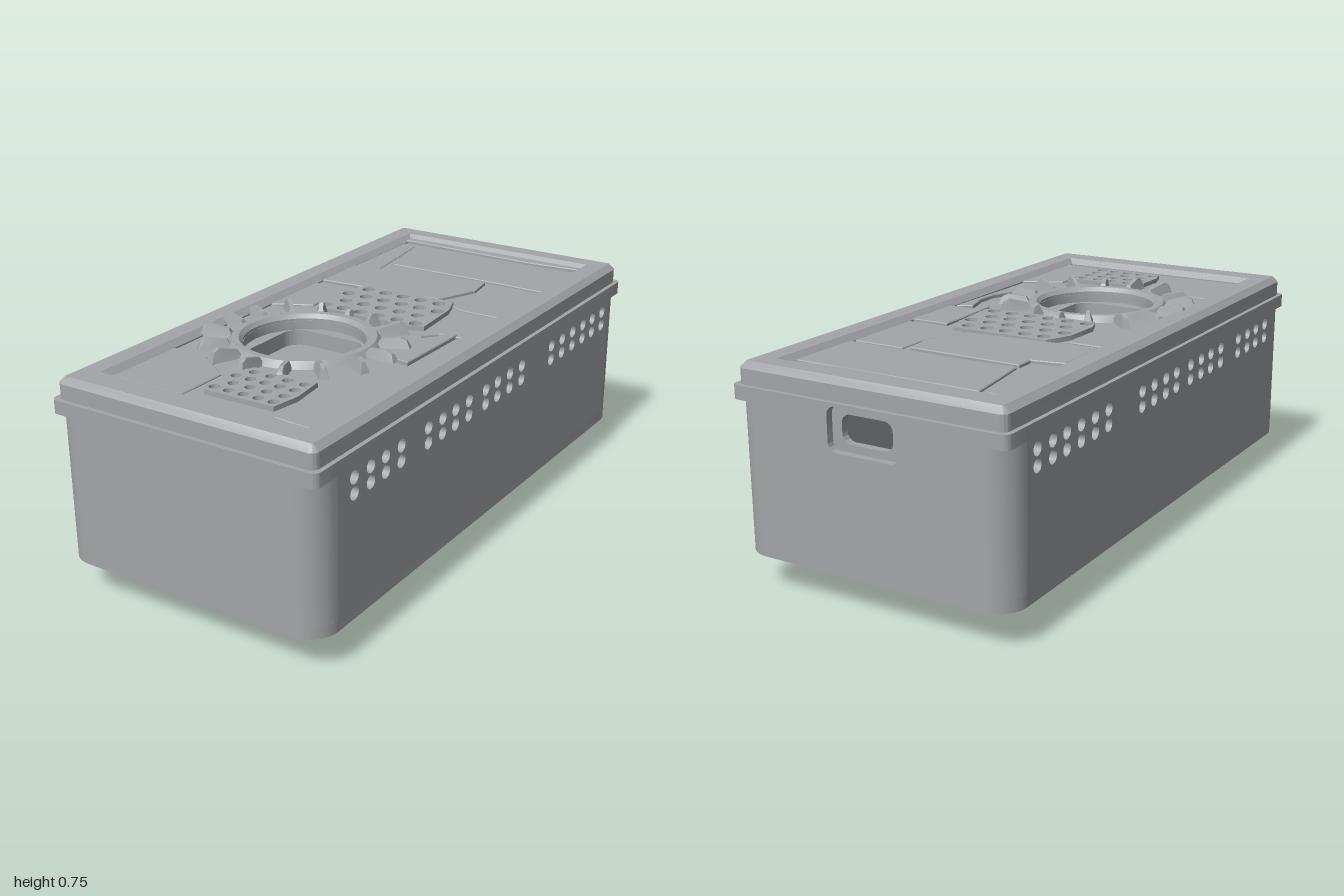
import * as THREE from 'three';
import { toCreasedNormals } from 'three/addons/utils/BufferGeometryUtils.js';

const grey = new THREE.MeshStandardMaterial({ color: 0xa3a5a8, side: THREE.DoubleSide });
grey.name = 'plain grey';

// Rounded rectangle between two corners, as a shape or a hole path
function roundRect(x0, y0, x1, y1, r, Type = THREE.Shape) {
  const s = new Type();
  s.absarc(x1 - r, y1 - r, r, 0, Math.PI / 2, false);
  s.absarc(x0 + r, y1 - r, r, Math.PI / 2, Math.PI, false);
  s.absarc(x0 + r, y0 + r, r, Math.PI, Math.PI * 1.5, false);
  s.absarc(x1 - r, y0 + r, r, Math.PI * 1.5, Math.PI * 2, false);
  s.closePath();
  return s;
}
function circle(x, y, r, Type = THREE.Path) {
  return new Type().absarc(x, y, r, 0, Math.PI * 2, false);
}
function polygon(points) {
  return new THREE.Shape(points.map(([x, y]) => new THREE.Vector2(x, y)));
}
function extrude(shape, depth, bevel = 0, curveSegments = 10) {
  return new THREE.ExtrudeGeometry(shape, {
    depth, curveSegments, bevelEnabled: bevel > 0, bevelSegments: 1,
    bevelThickness: bevel, bevelSize: bevel, bevelOffset: -bevel,
  });
}

export function createModel() {
  const model = new THREE.Group();
  function add(name, geometry) {
    const mesh = new THREE.Mesh(toCreasedNormals(geometry, 0.5), grey);
    mesh.name = name;
    model.add(mesh);
    return mesh;
  }
  // Horizontal plate drawn in (x, z), hanging down from height top
  function plate(name, shape, top, depth, bevel = 0, segments = 10) {
    const g = extrude(shape, depth, bevel, segments);
    return add(name, g.rotateX(Math.PI / 2).translate(0, top - bevel, 0));
  }

  const W = 0.485, L = 1, R = 0.1, T = 0.05, BOTTOM = 0.12, TOP = 0.655;

  // Long side walls with two rows of vent holes
  const vents = [0.815, 0.73, 0.65, 0.565, 0.41, 0.325, 0.245, 0.16, 0.05, -0.03, -0.115, -0.2,
    -0.425, -0.51, -0.595, -0.68, -0.76, -0.845];
  for (const side of [1, -1]) {
    const wall = polygon([[-L + R, BOTTOM], [L - R, BOTTOM], [L - R, TOP], [-L + R, TOP]]);
    for (const z of vents) for (const y of [0.525, 0.575]) wall.holes.push(circle(-side * z, y, 0.022));
    add('sideWall', extrude(wall, T).rotateY(side * Math.PI / 2).translate(side * (W - T), 0, 0));
  }

  // Front wall, and back wall in two layers with a stepped port opening
  const endWall = () => polygon([[-W + R, BOTTOM], [W - R, BOTTOM], [W - R, TOP], [-W + R, TOP]]);
  add('frontWall', extrude(endWall(), T).translate(0, 0, L - T));
  const outer = endWall(), inner = endWall();
  outer.holes.push(roundRect(-0.125, 0.505, 0.125, 0.645, 0.03, THREE.Path));
  inner.holes.push(roundRect(-0.09, 0.53, 0.09, 0.62, 0.03, THREE.Path));
  add('backWallOuter', extrude(outer, T / 2).translate(0, 0, -L));
  add('backWallInner', extrude(inner, T / 2).translate(0, 0, -L + T / 2));

  // Corners: broad rounding below, sharper rim band above
  function corner(sx, sz, r) {
    const pts = [[W - R, L - T], [W - R, L]];
    for (let i = 8; i >= 0; i--) {
      const a = (i / 8) * Math.PI / 2;
      pts.push([W - r + r * Math.cos(a), L - r + r * Math.sin(a)]);
    }
    pts.push([W, L - R], [W - T, L - R]);
    return polygon(pts.filter((p, i) => i === 0 || Math.hypot(p[0] - pts[i - 1][0], p[1] - pts[i - 1][1]) > 1e-6)
      .map(([x, z]) => [x * sx, z * sz]));
  }
  // Bottom plate with countersunk screw holes
  const floor = roundRect(-W, -L, W, L, R);
  for (const sx of [1, -1]) for (const sz of [1, -1]) {
    plate('bodyCorner', corner(sx, sz, R), 0.61, 0.61 - BOTTOM);
    plate('rimCorner', corner(sx, sz, 0.025), TOP, TOP - 0.61);
    const x = sx * 0.345, z = sz * 0.85;
    floor.holes.push(circle(x, z, 0.076));
    const sink = [[0.076, 0.12], [0.036, 0.165], [0.036, 0.25], [0, 0.25]].map(p => new THREE.Vector2(...p));
    add('screwHole', new THREE.LatheGeometry(sink, 24).translate(x, 0, z));
    add('screwPost', new THREE.CylinderGeometry(0.088, 0.088, TOP - 0.15, 24, 1, true)
      .translate(x, (TOP + 0.15) / 2, z));
  }
  plate('bottomPlate', floor, BOTTOM + 0.04, 0.04);

  // Round foot with a keyhole for hanging
  const foot = circle(0, 0.17, 0.333, THREE.Shape);
  const w = 0.035, a = Math.asin(w / 0.085), key = new THREE.Path();
  key.absarc(0, 0.17, 0.085, -Math.PI / 2 + a, Math.PI * 1.5 - a, false);
  key.absarc(0, -0.055, w, Math.PI, Math.PI * 2, false);
  key.closePath();
  foot.holes.push(key);
  plate('foot', foot, BOTTOM, BOTTOM, 0, 32);

  // Lid frame: straight base and chamfered top
  const lidBase = roundRect(-0.47, -0.985, 0.47, 0.985, 0.025);
  lidBase.holes.push(roundRect(-0.4, -0.92, 0.4, 0.9, 0.01, THREE.Path));
  plate('lidBase', lidBase, 0.705, 0.05);
  const lidTop = roundRect(-0.47, -0.985, 0.47, 0.985, 0.025);
  lidTop.holes.push(polygon([[-0.365, -0.885], [0.365, -0.885], [0.365, 0.865], [-0.365, 0.865]]));
  plate('lidFrame', lidTop, 0.725, 0.01, 0.02);

  // Speaker grilles: staggered rows of holes
  const FACE = 0.7, CX = -0.06, CZ = 0.28;
  const upper = [], lower = [];
  for (let row = 0; row < 4; row++) {
    const z1 = -0.24 + row * 0.072, z2 = 0.615 + row * 0.052, odd = row % 2;
    for (let i = 0; i < 5 + odd; i++) upper.push([-0.15 - odd * 0.036 + i * 0.072, z1, 0.022]);
    for (let i = 0; i < 4 + odd; i++) lower.push([-0.008 - odd * 0.03 + i * (odd ? 0.054 : 0.062), z2, 0.017]);
  }
  const pierce = (shape, list) => {
    for (const [x, z, r] of list) shape.holes.push(circle(x, z, r));
    return shape;
  };
  plate('upperGrille', pierce(polygon([[-0.18, -0.28], [0.17, -0.285], [0.2, -0.2], [0.215, -0.01], [0.15, 0.01],
    [-0.2, 0.01], [-0.225, -0.05], [-0.22, -0.19]]), upper), 0.716, 0.016);
  plate('lowerGrille', pierce(polygon([[-0.03, 0.583], [0.2, 0.58], [0.215, 0.7], [0.2, 0.8], [-0.05, 0.805],
    [-0.07, 0.74], [-0.068, 0.64]]), lower), 0.716, 0.016);

  // Recessed face panel
  const face = polygon([[-0.385, -0.9], [0.385, -0.9], [0.385, 0.88], [-0.385, 0.88]]);
  face.holes.push(circle(CX, CZ, 0.2));
  plate('facePanel', pierce(pierce(face, upper), lower), FACE, 0.03);

  // Uneven stone slabs on the panel: top height and outline
  const slabs = [
    [0.713, [[-0.37, -0.89], [0.37, -0.89], [0.37, -0.865], [0.17, -0.845], [-0.37, -0.855]]],
    [0.704, [[-0.37, -0.84], [-0.31, -0.82], [-0.27, -0.5], [-0.37, -0.48]]],
    [0.708, [[-0.29, -0.835], [0.37, -0.835], [0.37, -0.57], [0.1, -0.575], [-0.25, -0.57]]],
    [0.711, [[-0.25, -0.555], [0.15, -0.55], [0.165, -0.45], [0.1, -0.3], [-0.36, -0.26], [-0.36, -0.47], [-0.25, -0.49]]],
    [0.705, [[0.18, -0.55], [0.37, -0.55], [0.37, -0.25], [0.22, -0.25], [0.12, -0.29], [0.18, -0.43]]],
    [0.709, [[0.23, -0.23], [0.37, -0.23], [0.37, 0], [0.28, 0], [0.24, 0.05]]],
    [0.706, [[-0.37, -0.23], [-0.235, -0.23], [-0.235, -0.02], [-0.37, 0.05]]],
    [0.714, [[0.29, 0.02], [0.34, -0.01], [0.335, 0.29], [0.29, 0.28], [0.32, 0.2], [0.32, 0.12]]],
    [0.705, [[-0.37, 0.56], [-0.23, 0.57], [-0.1, 0.66], [-0.1, 0.85], [-0.37, 0.85]]],
    [0.706, [[0.23, 0.55], [0.37, 0.48], [0.37, 0.85], [0.23, 0.84]]],
  ];
  for (const [top, pts] of slabs) plate('stoneSlab', polygon(pts), top, top - FACE, 0.003);

  // Lens ring and its stepped recess
  const ring = [[0.2, 0.655], [0.2, 0.708], [0.212, 0.722], [0.235, 0.722], [0.252, FACE]].map(p => new THREE.Vector2(...p));
  add('lensRing', new THREE.LatheGeometry(ring, 48).translate(CX, 0, CZ));
  const step = circle(CX, CZ, 0.205, THREE.Shape);
  step.holes.push(roundRect(-0.215, 0.125, 0.085, 0.43, 0.06, THREE.Path));
  plate('lensRecess', step, 0.67, 0.055, 0, 24);
  const back = roundRect(-0.23, 0.11, 0.1, 0.445, 0.05);
  back.holes.push(circle(CX, CZ, 0.06));
  plate('lensFloor', back, 0.617, 0.015, 0, 16);

  // Sunburst of raised rays around the lens
  for (let i = 0; i < 16; i++) {
    const end = i >= 11 && i <= 13 ? 0.28 : 0.335, h = i % 3 ? 0.745 : 0.735;
    const ray = polygon([[0.235, FACE], [0.25, 0.728], [end - 0.02, h], [end, h - 0.01], [end + 0.012, FACE]]);
    const g = extrude(ray, 0.032).translate(0, 0, -0.016);
    // Narrow each ray towards its crest
    const p = g.attributes.position;
    for (let k = 0; k < p.count; k++) if (p.getY(k) > FACE + 0.01) p.setZ(k, p.getZ(k) * 0.45);
    g.computeVertexNormals();
    add('sunRay', g.rotateY(-i * Math.PI / 8).translate(CX, 0, CZ));
  }
  return model;
}
